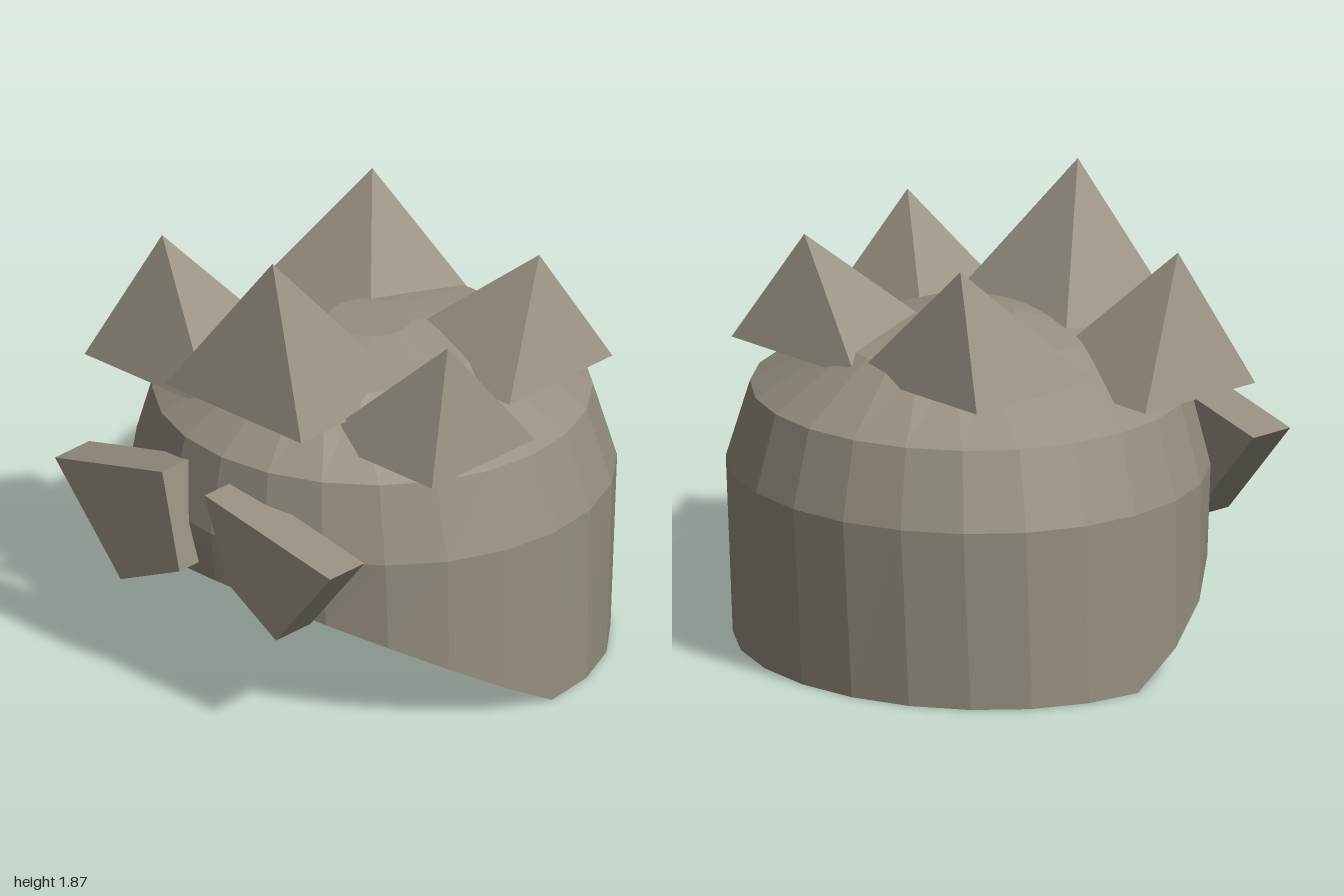
import * as THREE from 'three';

const SEGMENTS = 24;

// Open shell lofted through elliptical rings; the lowest ring follows the slanted face opening
function shellGeometry() {
  const rings = [
    { y: 0, rx: 0.995, rz: 0.915, cz: -0.035, cut: true },
    { y: 0.75, rx: 0.995, rz: 0.955, cz: -0.045 },
    { y: 1.07, rx: 0.89, rz: 0.88, cz: -0.035 },
    { y: 1.3, rx: 0.46, rz: 0.58, cz: -0.02 },
    { y: 1.38, rx: 0.17, rz: 0.16, cz: -0.02 },
    { y: 1.38, rx: 0, rz: 0, cz: -0.02 },
  ];
  const positions = [];
  const index = [];
  rings.forEach((ring, r) => {
    for (let i = 0; i < SEGMENTS; i++) {
      const a = (i / SEGMENTS) * Math.PI * 2;
      const z = ring.cz + ring.rz * Math.cos(a);
      const y = ring.cut ? Math.max(0, (z + 0.02) * 0.585) : ring.y;
      positions.push(ring.rx * Math.sin(a), y, z);
      if (r === 0) continue;
      const j = (i + 1) % SEGMENTS;
      const low = (r - 1) * SEGMENTS;
      const high = r * SEGMENTS;
      index.push(low + i, low + j, high + j);
      if (r < rings.length - 1) index.push(low + i, high + j, high + i);
    }
  });
  const geometry = new THREE.BufferGeometry();
  geometry.setAttribute('position', new THREE.Float32BufferAttribute(positions, 3));
  geometry.setIndex(index);
  const flat = geometry.toNonIndexed();
  flat.computeVertexNormals();
  return flat;
}

// Four-sided spike with a level rectangular base and an off-centre tip
function spikeGeometry({ x, z, y, tip }) {
  const corners = [[x[0], y, z[1]], [x[1], y, z[1]], [x[1], y, z[0]], [x[0], y, z[0]]];
  const points = [];
  corners.forEach((c, i) => points.push(...c, ...corners[(i + 1) % 4], ...tip));
  for (const i of [0, 2, 1, 0, 3, 2]) points.push(...corners[i]);
  const geometry = new THREE.BufferGeometry();
  geometry.setAttribute('position', new THREE.Float32BufferAttribute(points, 3));
  geometry.computeVertexNormals();
  return geometry;
}

// Thick four-cornered slab facing forward
function plateGeometry(outline, z) {
  const shape = new THREE.Shape(outline.map(([x, y]) => new THREE.Vector2(x, y)));
  const geometry = new THREE.ExtrudeGeometry(shape, { depth: 0.2, bevelEnabled: false });
  geometry.translate(0, 0, z);
  return geometry;
}

export function createModel() {
  const model = new THREE.Group();
  model.name = 'spikedHelmet';
  const stone = new THREE.MeshStandardMaterial({ color: 0x968f81, flatShading: true, side: THREE.DoubleSide });
  stone.name = 'warmGreyStone';

  const add = (name, geometry) => {
    const mesh = new THREE.Mesh(geometry, stone);
    mesh.name = name;
    model.add(mesh);
  };

  add('helmetShell', shellGeometry());

  // Crown of spikes
  const spikes = {
    frontCentreSpike: { x: [-0.38, 0.375], z: [0.13, 0.775], y: 1.24, tip: [0.05, 1.87, 0.6] },
    frontRightSpike: { x: [-0.93, -0.24], z: [0.065, 0.665], y: 1.14, tip: [-0.7, 1.68, 0.455] },
    frontLeftSpike: { x: [0.26, 0.895], z: [-0.04, 0.56], y: 1.14, tip: [0.755, 1.635, 0.32] },
    backLeftSpike: { x: [0, 0.735], z: [-0.66, -0.06], y: 1.23, tip: [0.51, 1.675, -0.47] },
    backRightSpike: { x: [-0.685, 0.03], z: [-0.63, 0.01], y: 1.23, tip: [-0.42, 1.735, -0.475] },
  };
  for (const [name, spike] of Object.entries(spikes)) add(name, spikeGeometry(spike));

  // Brow plates
  add('rightBrowPlate', plateGeometry([[-0.785, 0.845], [-0.42, 0.425], [-0.095, 0.575], [-0.19, 0.99]], 0.79));
  add('leftBrowPlate', plateGeometry([[0.055, 0.975], [0.18, 0.625], [0.45, 0.46], [0.75, 0.84]], 0.8));

  return model;
}
